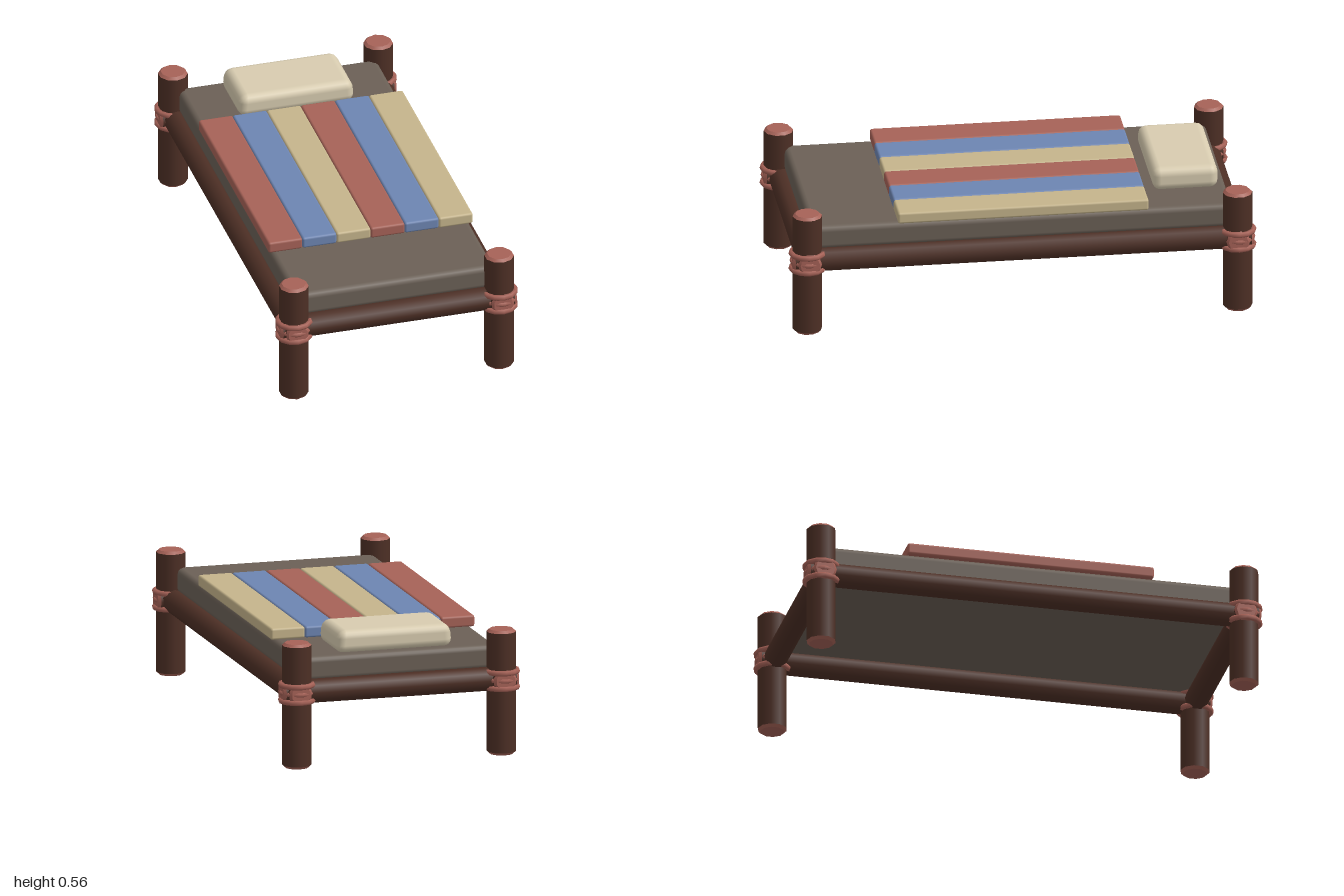
import * as THREE from 'three';
import { RoundedBoxGeometry } from 'three/addons/geometries/RoundedBoxGeometry.js';

const paint = (name, color) => {
  const m = new THREE.MeshStandardMaterial({ color });
  m.name = name;
  return m;
};

export function createModel() {
  const bark = paint('dark bark', 0x4d2f25);
  const red = paint('clay red', 0xa66257);
  const blue = paint('dusty blue', 0x6d85b2);
  const tan = paint('straw tan', 0xc5b48b);
  const felt = paint('mattress brown', 0x6b6056);
  const linen = paint('pillow linen', 0xd8ccb0);

  const bed = new THREE.Group();
  bed.name = 'bed';
  const add = (parent, name, geometry, material, x = 0, y = 0, z = 0) => {
    const mesh = new THREE.Mesh(geometry, material);
    mesh.name = name;
    mesh.position.set(x, y, z);
    parent.add(mesh);
    return mesh;
  };

  // A log along y: bark tube with a chamfered cut face at each end
  const log = (name, length, radius) => {
    const group = new THREE.Group();
    group.name = name;
    const chamfer = 0.011;
    const half = length / 2 - chamfer;
    add(group, 'bark', new THREE.CylinderGeometry(radius, radius, half * 2, 10, 1, true), bark);
    for (const s of [1, -1]) {
      const cap = add(group, 'cutEnd', new THREE.CylinderGeometry(radius * 0.82, radius, chamfer, 10), red,
        0, s * (half + chamfer / 2), 0);
      if (s < 0) cap.rotation.x = Math.PI;
    }
    bed.add(group);
    return group;
  };

  const postX = 0.452, postZ = 0.918, railY = 0.325;

  // Corner posts with rope lashings
  for (const sx of [-1, 1]) {
    for (const sz of [-1, 1]) {
      log('post', 0.54, 0.063).position.set(sx * postX, 0.27, sz * postZ);

      const lashing = new THREE.Group();
      lashing.name = 'lashing';
      lashing.position.set(sx * postX, railY, sz * postZ);
      for (const dy of [-0.034, 0.034]) {
        add(lashing, 'ropeRing', new THREE.TorusGeometry(0.069, 0.012, 6, 12), red, 0, dy, 0)
          .rotation.x = Math.PI / 2;
      }
      for (const tilt of [-0.35, 0.35]) {
        const rope = add(lashing, 'crossRope', new THREE.TorusGeometry(0.066, 0.01, 6, 12), red);
        rope.rotation.set(Math.PI / 2, tilt, sx * sz * Math.PI / 4, 'YXZ');
      }
      bed.add(lashing);
    }
  }

  // Side and end rails, their cut ends just showing through the posts
  for (const s of [-1, 1]) {
    const side = log('sideRail', 1.97, 0.051);
    side.position.set(s * postX, railY, 0);
    side.rotation.x = Math.PI / 2;
    const end = log('endRail', 1.04, 0.051);
    end.position.set(0, railY, s * 0.914);
    end.rotation.z = Math.PI / 2;
  }

  // Mattress
  add(bed, 'mattress', new RoundedBoxGeometry(0.88, 0.107, 1.8, 2, 0.025), felt, 0, 0.4135, 0);

  // Striped blanket, one padded strip per colour
  const stripes = [red, blue, tan];
  for (let i = 0; i < 6; i++) {
    add(bed, 'blanketStripe', new RoundedBoxGeometry(0.15, 0.05, 1.07, 2, 0.01), stripes[i % 3],
      -0.375 + i * 0.15, 0.49, -0.005);
  }

  // Pillow, drawn in towards its top along the width
  const pillow = new RoundedBoxGeometry(0.51, 0.1, 0.28, 2, 0.035);
  const p = pillow.attributes.position;
  for (let i = 0; i < p.count; i++) {
    if (p.getY(i) > 0) p.setX(i, p.getX(i) * (1 - 0.8 * p.getY(i)));
  }
  add(bed, 'pillow', pillow, linen, 0, 0.511, -0.725);

  return bed;
}
